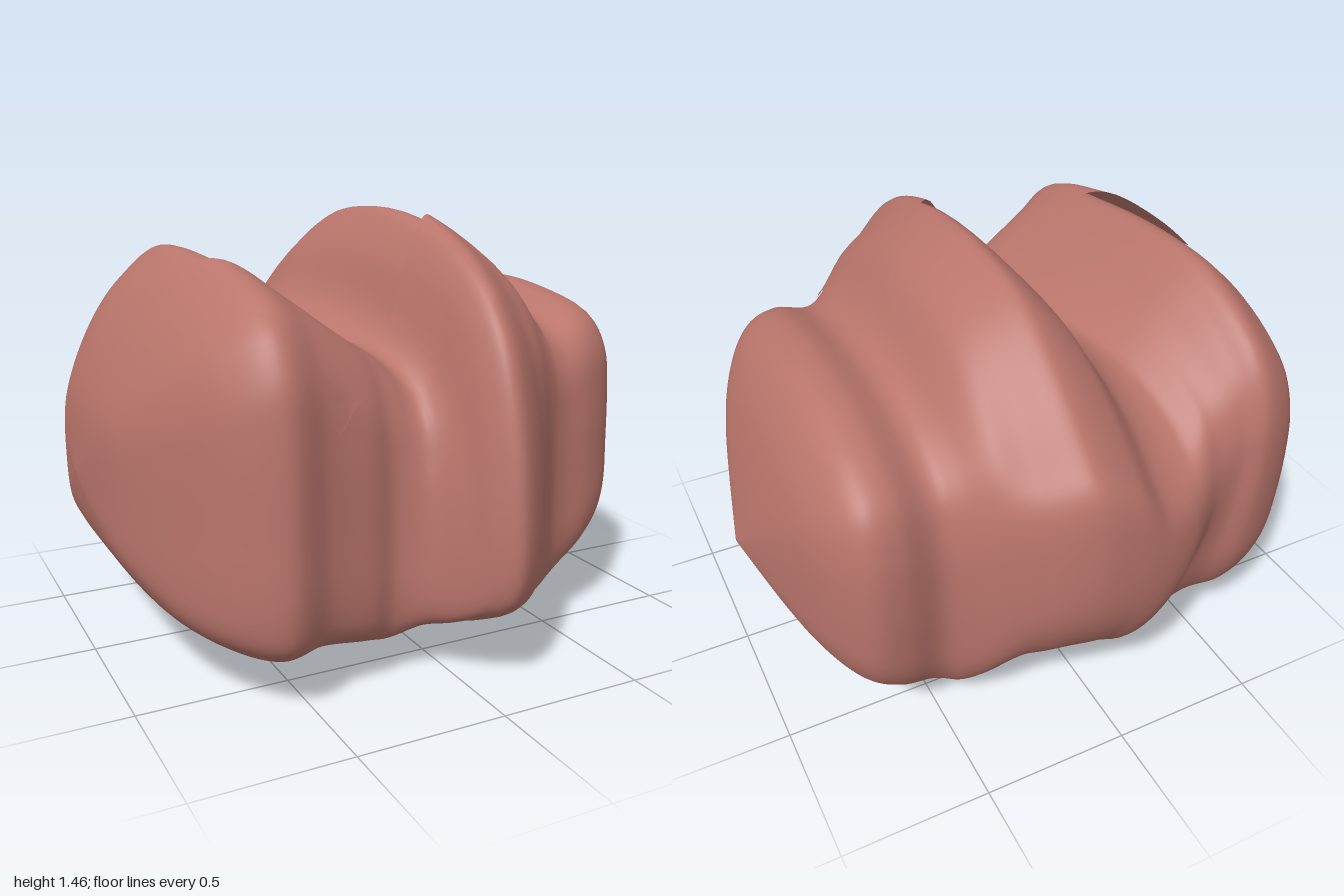
import * as THREE from 'three';

// stations along x: [x, top y, bottom y, front z, back z]
const STATIONS = [
  [-1, 0.6, 0.6, -0.13, -0.15], [-0.98, 0.79, 0.46, 0.14, -0.37], [-0.94, 0.93, 0.36, 0.33, -0.5],
  [-0.85, 1.11, 0.24, 0.54, -0.64], [-0.74, 1.25, 0.17, 0.71, -0.74], [-0.6, 1.34, 0.12, 0.8, -0.78],
  [-0.45, 1.28, 0.115, 0.74, -0.76], [-0.3, 1.19, 0.09, 0.71, -0.77], [-0.2, 1.13, 0.065, 0.68, -0.8],
  [-0.1, 1.08, 0.05, 0.72, -0.86], [-0.03, 1.14, 0.03, 0.82, -0.92], [0.02, 1.34, 0.015, 0.9, -0.945],
  [0.09, 1.45, 0.01, 0.945, -0.945], [0.2, 1.41, 0.008, 0.87, -0.905], [0.32, 1.33, 0.005, 0.73, -0.83],
  [0.43, 1.18, 0.02, 0.61, -0.75], [0.52, 1.14, 0.06, 0.56, -0.72], [0.65, 1.18, 0.14, 0.53, -0.76],
  [0.76, 1.15, 0.23, 0.47, -0.75], [0.85, 1.04, 0.33, 0.36, -0.64], [0.92, 0.87, 0.43, 0.2, -0.45],
  [1, 0.59, 0.58, -0.12, -0.14],
];

// closed cross-sections, u from back to front, v from bottom to top
const section = (points) =>
  new THREE.CatmullRomCurve3(points.map(([u, v]) => new THREE.Vector3(u, v, 0)), true);
const RIDGE = section([
  [1, 0.27], [1, 0.42], [0.95, 0.62], [0.86, 0.77], [0.67, 0.89], [0.25, 0.99], [-0.22, 1], [-0.48, 0.96],
  [-0.72, 0.85], [-0.87, 0.76], [-0.97, 0.69], [-1, 0.56], [-0.99, 0.38], [-0.92, 0.26], [-0.78, 0.155],
  [-0.42, 0.025], [-0.1, 0], [0.25, 0.008], [0.55, 0.07], [0.82, 0.14], [0.96, 0.2],
]);
const LEFT_LOBE = section([
  [1, 0.2], [1, 0.4], [0.99, 0.62], [0.96, 0.76], [0.83, 0.885], [0.32, 0.97], [-0.22, 1], [-0.47, 0.985],
  [-0.74, 0.91], [-0.9, 0.82], [-0.98, 0.69], [-1, 0.55], [-0.99, 0.35], [-0.95, 0.17], [-0.85, 0.05],
  [-0.45, 0.003], [-0.1, 0], [0.25, 0.003], [0.6, 0.012], [0.86, 0.045], [0.965, 0.1],
]);
const RIGHT_LOBE = section([
  [1, 0.24], [1, 0.42], [0.99, 0.64], [0.96, 0.8], [0.84, 0.91], [0.34, 0.99], [-0.2, 1], [-0.47, 0.975],
  [-0.74, 0.915], [-0.91, 0.83], [-0.98, 0.7], [-1, 0.55], [-0.99, 0.36], [-0.95, 0.2], [-0.83, 0.09],
  [-0.42, 0.022], [-0.1, 0], [0.25, 0.006], [0.57, 0.045], [0.84, 0.1], [0.96, 0.155],
]);

const smooth = THREE.MathUtils.smoothstep;

// smooth interpolation of the stations, s from 0 to 1
function station(s) {
  const last = STATIONS.length - 1;
  const f = s * last, i = Math.min(Math.floor(f), last - 1), t = f - i;
  const at = (k) => STATIONS[Math.max(0, Math.min(last, k))];
  return STATIONS[0].map((_, c) => {
    const [a, b, d, e] = [at(i - 1)[c], at(i)[c], at(i + 1)[c], at(i + 2)[c]];
    return b + 0.5 * t * (d - a + t * (2 * a - 5 * b + 4 * d - e + t * (3 * (b - d) + e - a)));
  });
}

// body surface point; the valley slants sideways toward the back
function surface(s, t) {
  const [x, top, bottom, front, back] = station(s);
  const lobe = x < 0.12 ? LEFT_LOBE : RIGHT_LOBE;
  const p = RIDGE.getPoint(t % 1).lerp(lobe.getPoint(t % 1), smooth(Math.abs(x - 0.12), 0.1, 0.34));
  const z = (front + back) / 2 + p.x * (front - back) / 2;
  const k = Math.max(0, Math.min(1, (0.6 - z) / 1.25));
  const bump = x < -0.1 ? smooth(x, -0.75, -0.1) : 1 - smooth(x, -0.1, 0.09);
  const shift = 0.23 * k * bump * smooth(p.y, -0.05, 0.6);
  return new THREE.Vector3(x - shift, bottom + p.y * (top - bottom), z);
}

// indexed grid from a point rule, optionally joined around the loop
function grid(cols, rows, closed, rule) {
  const pos = [], index = [], n = closed ? rows : rows + 1;
  for (let i = 0; i <= cols; i++) {
    for (let j = 0; j < n; j++) pos.push(...rule(i / cols, j / rows).toArray());
  }
  for (let i = 0; i < cols; i++) {
    for (let j = 0; j < rows; j++) {
      const k = (j + 1) % n, a = i * n, b = a + n;
      index.push(a + j, b + j, b + k, a + j, b + k, a + k);
    }
  }
  const g = new THREE.BufferGeometry();
  g.setAttribute('position', new THREE.Float32BufferAttribute(pos, 3));
  g.setIndex(index);
  g.computeVertexNormals();
  return g;
}

// halving search for where a test turns false
function search(lo, hi, test) {
  for (let i = 0; i < 24; i++) {
    const mid = (lo + hi) / 2;
    if (test(mid)) lo = mid; else hi = mid;
  }
  return lo;
}

// edge of the overlay sheet as z over x
function edgeCurve(points) {
  const curve = new THREE.SplineCurve(points.map(([x, z]) => new THREE.Vector2(x, z)));
  return (f) => curve.getPoint(f);
}

export function createModel() {
  const group = new THREE.Group();
  const clay = new THREE.MeshStandardMaterial({ color: 0xb9756b, side: THREE.DoubleSide });
  clay.name = 'dusty rose';

  // lobed body
  const body = new THREE.Mesh(grid(168, 96, true, surface), clay);
  body.name = 'lobedBody';
  group.add(body);

  // thin sheet overlapping the front of the crown, lifted toward its rear edge
  const frontEdge = edgeCurve([[-0.82, 0.44], [-0.5, 0.72], [-0.2, 0.65], [0.05, 0.75], [0.45, 0.52]]);
  const backEdge = edgeCurve([[-0.82, 0], [-0.5, 0.37], [-0.18, 0.28], [0.08, 0.33], [0.45, -0.1]]);
  const sheet = grid(60, 24, false, (a, b) => {
    const f = frontEdge(a), r = backEdge(a);
    const z = f.y + (r.y - f.y) * b;
    const s = search(0, 1, (m) => station(m)[0] < f.x);
    const p = surface(s, search(0.05, 0.5, (m) => surface(s, m).z > z));
    p.y += 0.01 + 0.04 * b * smooth(Math.abs(p.x + 0.18), 0.1, 0.6);
    return p;
  });
  const overlay = new THREE.Mesh(sheet, clay);
  overlay.name = 'crownOverlay';
  group.add(overlay);

  return group;
}
